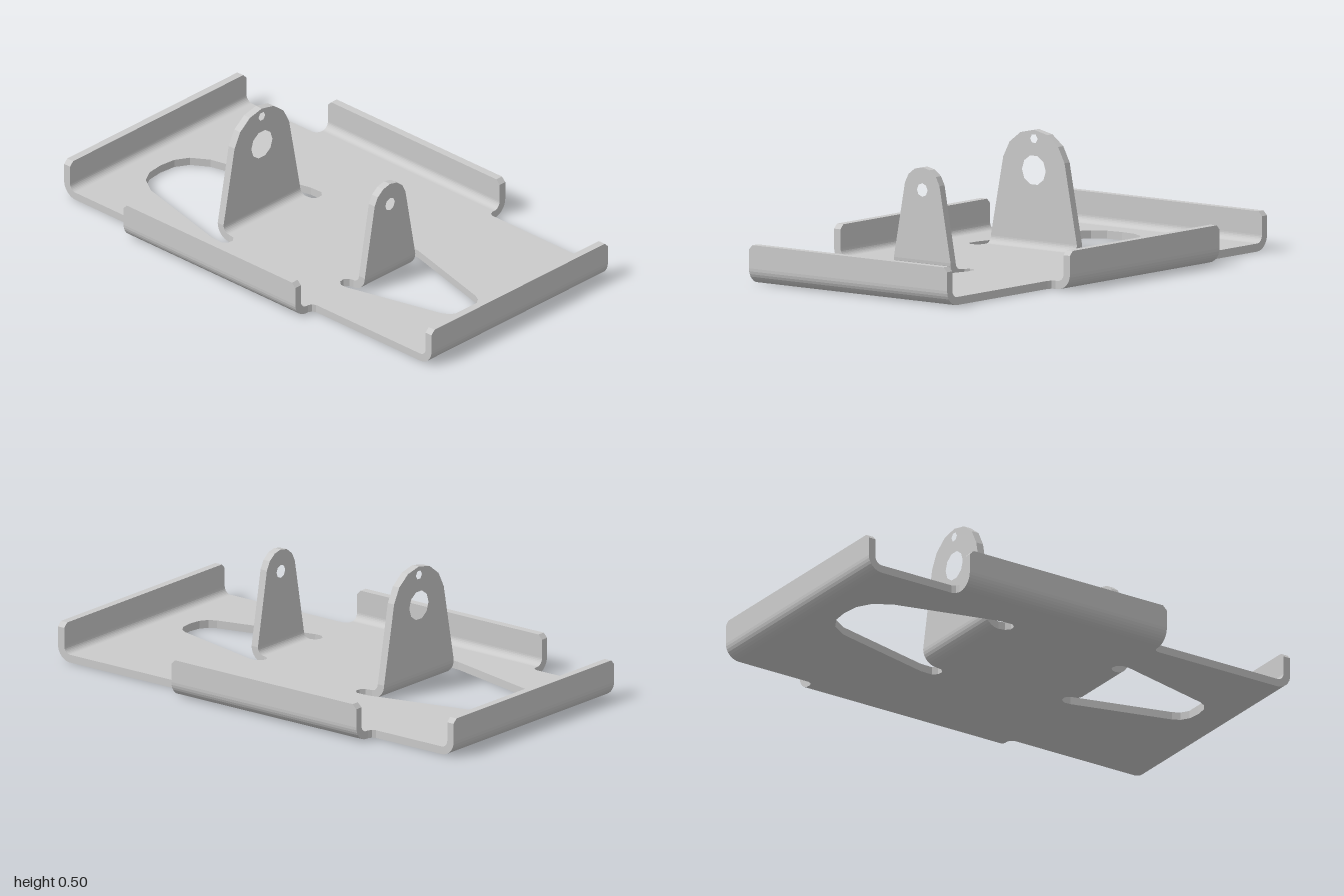
import * as THREE from 'three';

const T = 0.032;        // sheet thickness
const RI = 0.03;        // inner bend radius
const R = RI + T;       // outer bend radius
const H = 0.155;        // flange height
const CX = -0.11;       // centre line of the tabs and cutouts
const mat = new THREE.MeshStandardMaterial({ color: 0xcccccc });

const shapeOf = (pts) => new THREE.Shape(pts.map(([x, y]) => new THREE.Vector2(x, y)));
// Completes a half outline (x < 0 side, bottom to top) by mirroring it in x
const mirrored = (half) => [...half, ...half.filter(([x]) => x !== 0).reverse().map(([x, y]) => [-x, y])];
const extrude = (shape, depth) =>
  new THREE.ExtrudeGeometry(shape, { depth, bevelEnabled: false, curveSegments: 4 });

function mesh(geometry, name) {
  const m = new THREE.Mesh(geometry, mat);
  m.name = name;
  return m;
}

function circleHole(y, r, sides) {
  const p = new THREE.Path();
  p.setFromPoints(Array.from({ length: sides }, (_, i) => {
    const a = -i / sides * Math.PI * 2;
    return new THREE.Vector2(r * Math.cos(a), y + r * Math.sin(a));
  }));
  return p;
}

// Quarter-round bend plus the upright wall, folding up towards local +z
function foldedWall(name, width, wallShape, x, z, angle) {
  const g = new THREE.Group();
  g.name = name;
  const section = new THREE.Shape();
  section.absarc(0, R, R, -Math.PI / 2, 0, false);
  section.absarc(0, R, RI, 0, -Math.PI / 2, true);
  const bend = extrude(section, width);
  bend.rotateY(-Math.PI / 2).translate(width / 2, 0, 0);
  const wall = extrude(wallShape, T);
  wall.translate(0, 0, RI);
  g.add(mesh(bend, name + 'Bend'), mesh(wall, name + 'Wall'));
  g.position.set(x, 0, z);
  g.rotation.y = angle;
  return g;
}

// Rectangle with clipped top corners
function flangeShape(width) {
  const w = width / 2, c = 0.018;
  return shapeOf(mirrored([[-w, R], [-w, H - c], [-w + c, H]]));
}

// Tapered tab with a round head centred at y = 0.34
function tabShape(baseHalf, headR, holes) {
  const half = [[-baseHalf, R]];
  for (let i = 0; i <= 3; i++) {
    const a = THREE.MathUtils.degToRad(165 - i * 25);
    half.push([i === 3 ? 0 : headR * Math.cos(a), 0.34 + headR * Math.sin(a)]);
  }
  const s = shapeOf(mirrored(half));
  s.holes.push(...holes.map((h) => circleHole(...h)));
  return s;
}

// Tapered cutout with relief slots beside the tab; points are (x from CX, z)
function cutout(half) {
  return new THREE.Path(mirrored(half).map(([x, z]) => new THREE.Vector2(CX + x, -z)));
}

export function createModel() {
  const model = new THREE.Group();
  model.name = 'sheetMetalBracket';

  const endZ = 1 - R, sideX = 0.595 - R;
  const zBack = -0.585, zFront = 0.35, f = 0.022;
  const tabBackZ = -0.33 + R, tabFrontZ = 0.4 - R;

  // Base plate with filleted side wings and two cutouts
  const right = [
    [0.5, endZ], [0.5, zFront + f], [0.507, zFront + 0.007], [0.5 + f, zFront], [sideX, zFront],
    [sideX, zBack], [0.5 + f, zBack], [0.507, zBack - 0.007], [0.5, zBack - f], [0.5, -endZ],
  ];
  const outline = [...right, ...right.map(([x, z]) => [-x, z]).reverse()];
  const plate = shapeOf(outline.map(([x, z]) => [x, -z]));
  plate.holes.push(
    cutout([
      [-0.217, tabBackZ], [-0.222, -0.24], [-0.24, -0.224], [-0.265, -0.226], [-0.282, -0.245],
      [-0.28, -0.3], [-0.17, -0.74], [-0.125, -0.81], [-0.07, -0.842], [0, -0.85],
    ]),
    cutout([
      [-0.143, tabFrontZ], [-0.148, 0.32], [-0.165, 0.305], [-0.188, 0.309], [-0.205, 0.33],
      [-0.204, 0.36], [-0.098, 0.77], [-0.082, 0.8], [-0.05, 0.821], [0, 0.828],
    ]),
  );
  const plateGeo = extrude(plate, T);
  plateGeo.rotateX(-Math.PI / 2);
  model.add(mesh(plateGeo, 'basePlate'));

  // Upturned flanges on all four edges
  const sideLen = zFront - zBack, sideZ = (zFront + zBack) / 2;
  model.add(
    foldedWall('frontFlange', 1, flangeShape(1), 0, endZ, 0),
    foldedWall('backFlange', 1, flangeShape(1), 0, -endZ, Math.PI),
    foldedWall('leftFlange', sideLen, flangeShape(sideLen), sideX, sideZ, Math.PI / 2),
    foldedWall('rightFlange', sideLen, flangeShape(sideLen), -sideX, sideZ, -Math.PI / 2),
  );

  // Upright tabs folded out of the cutouts; holes are [y, radius, sides]
  model.add(
    foldedWall('frontTab', 0.286, tabShape(0.143, 0.09, [[0.34, 0.027, 8]]), CX, tabFrontZ, 0),
    foldedWall('backTab', 0.434,
      tabShape(0.217, 0.16, [[0.34, 0.06, 10], [0.465, 0.019, 6]]), CX, tabBackZ, Math.PI),
  );
  return model;
}
